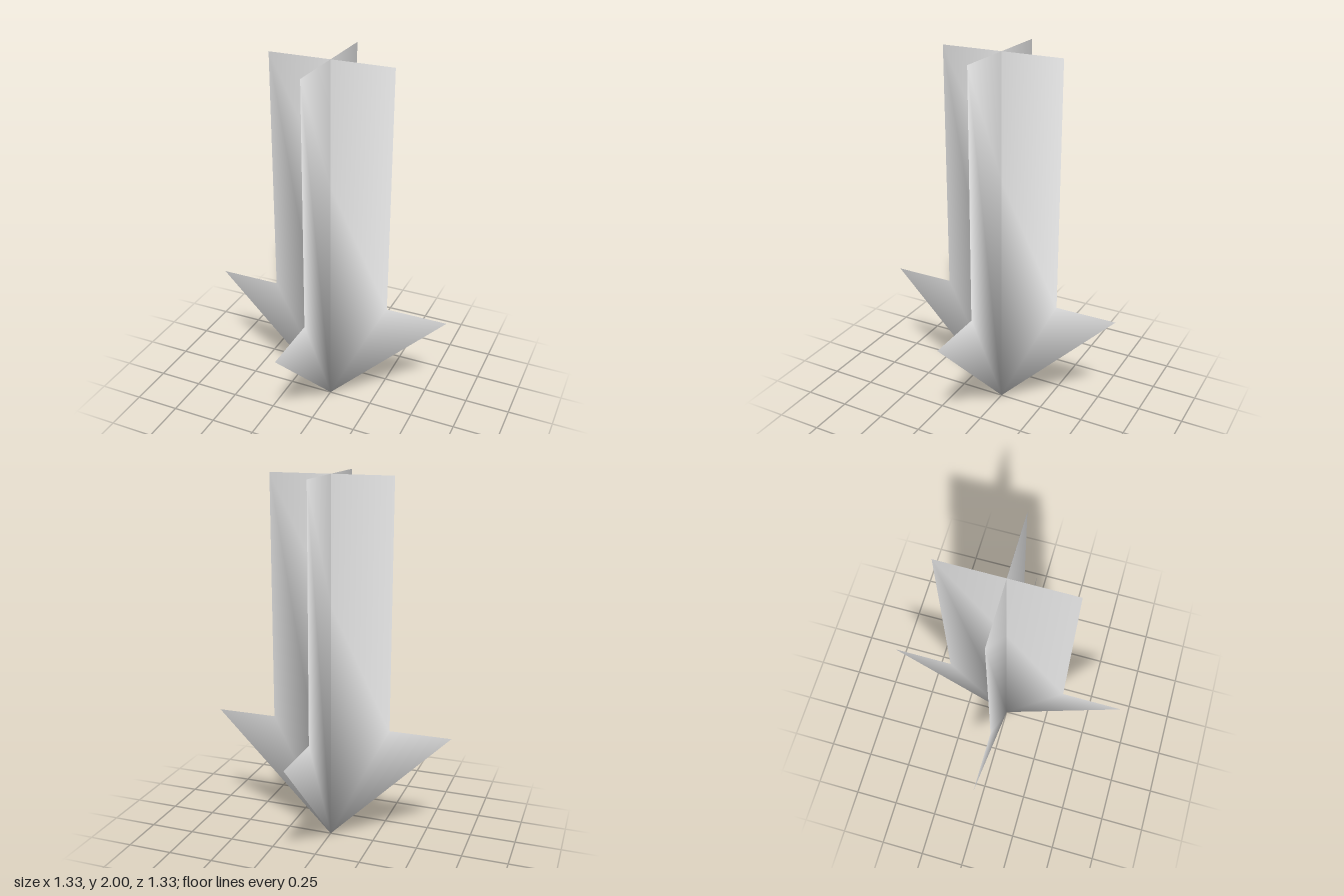
import * as THREE from 'three';

// Arrow outline, counter-clockwise from the tip
const OUTLINE = [
  [0, 0], [0.667, 0.667], [0.333, 0.667], [0.333, 2],
  [-0.333, 2], [-0.333, 0.667], [-0.667, 0.667],
].map(([x, y]) => new THREE.Vector2(x, y));

// Outward direction of the outline edge that starts at corner i
function edgeNormal(i) {
  const n = OUTLINE.length;
  const d = OUTLINE[(i + 1) % n].clone().sub(OUTLINE[(i + n) % n]).normalize();
  return new THREE.Vector2(d.y, -d.x);
}

// One side of a thin arrow sheet, its normals softened towards the rim
function arrowFace() {
  const geometry = new THREE.ShapeGeometry(new THREE.Shape(OUTLINE));
  const { position, normal } = geometry.attributes;
  for (let v = 0; v < position.count; v++) {
    const p = new THREE.Vector2(position.getX(v), position.getY(v));
    const i = OUTLINE.findIndex((c) => c.distanceTo(p) < 1e-4);
    const rim = edgeNormal(i).add(edgeNormal(i - 1));
    const soft = new THREE.Vector3(rim.x, rim.y, 1).normalize();
    normal.setXYZ(v, soft.x, soft.y, soft.z);
  }
  return geometry.translate(0, 0, 0.001);
}

export function createModel() {
  const model = new THREE.Group();
  model.name = 'downArrow';
  const material = new THREE.MeshStandardMaterial({ color: 0xcccccc });

  // Two crossed sheets, each with two faces
  const names = ['frontFace', 'leftFace', 'backFace', 'rightFace'];
  names.forEach((name, k) => {
    const face = new THREE.Mesh(arrowFace(), material);
    face.name = name;
    face.rotation.y = (k * Math.PI) / 2;
    model.add(face);
  });
  return model;
}
